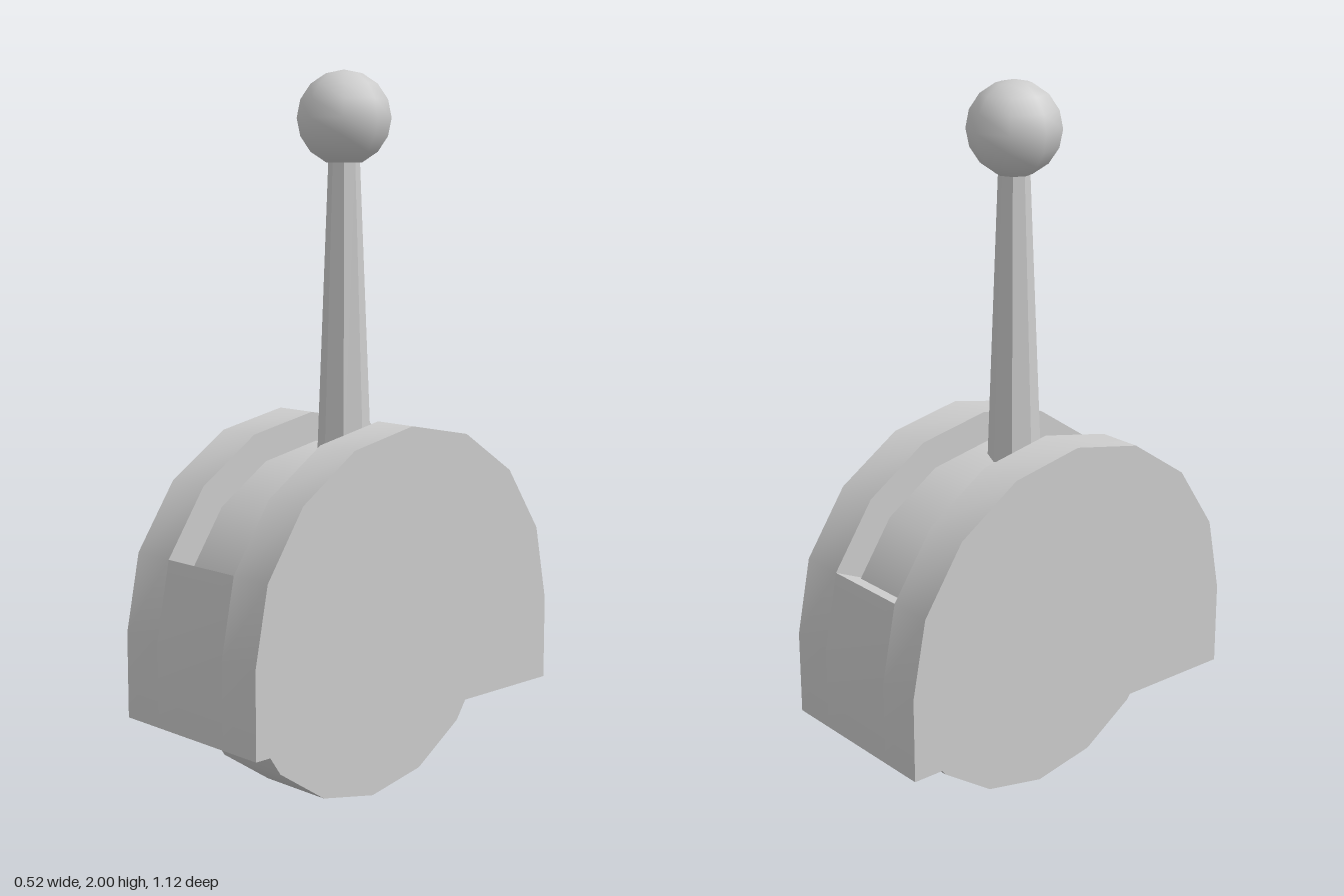
import * as THREE from 'three';
import { toCreasedNormals } from 'three/addons/utils/BufferGeometryUtils.js';

const AXLE_Y = 0.5;
const STEP = Math.PI / 8; // sixteen-sided curves

// point on a sixteen-sided arc about the axle, as [z, y]
const arcPoint = (r, i) => [r * Math.cos(i * STEP), AXLE_Y + r * Math.sin(i * STEP)];

// extrude a side profile (z, y) across the width, centred at x
function slab(profile, width, x) {
  const shape = new THREE.Shape(profile.map(([z, y]) => new THREE.Vector2(z, y)));
  const geo = new THREE.ExtrudeGeometry(shape, { depth: width, bevelEnabled: false });
  geo.translate(0, 0, -width / 2).rotateY(-Math.PI / 2).translate(x, 0, 0);
  return toCreasedNormals(geo, 0.5);
}

export function createModel() {
  const group = new THREE.Group();
  const material = new THREE.MeshStandardMaterial({ color: 0xcccccc });
  const add = (name, geometry, parent = group) => {
    const mesh = new THREE.Mesh(geometry, material);
    mesh.name = name;
    parent.add(mesh);
    return mesh;
  };

  const R = 0.56, base = 0.263, halfWidth = 0.262, slotHalf = 0.132;

  // housing: two domed cheeks with a slotted core between them
  const housing = new THREE.Group();
  housing.name = 'housing';
  group.add(housing);

  const cheek = [[-R, base], [R, base]];
  for (let i = 0; i <= 8; i++) cheek.push(arcPoint(R, i));
  const cheekWidth = halfWidth - slotHalf;
  for (const [name, side] of [['leftCheek', 1], ['rightCheek', -1]]) {
    add(name, slab(cheek, cheekWidth, side * (slotHalf + cheekWidth / 2)), housing);
  }

  // core: outer wall up to the slot ends, then down to a smaller concentric floor
  const core = [[-R, base], [R, base], arcPoint(R, 0), arcPoint(R, 1), [0.317, 0.625]];
  for (let i = 2; i <= 6; i++) core.push(arcPoint(0.328, i));
  core.push([-0.317, 0.625], arcPoint(R, 7), arcPoint(R, 8));
  add('slottedCore', slab(core, slotHalf * 2, 0), housing);

  // wheel turning in the slot and showing below the housing
  const wheel = new THREE.CylinderGeometry(0.49, 0.49, 0.23, 16);
  wheel.rotateZ(Math.PI / 2).translate(0, 0.49, 0);
  add('wheel', wheel);

  // tapered eight-sided lever
  const lever = new THREE.CylinderGeometry(0.042, 0.0765, 0.88, 8);
  lever.translate(0, 1.34, 0);
  add('lever', toCreasedNormals(lever, 0.5));

  // ball grip
  const knob = new THREE.SphereGeometry(0.128, 8, 8);
  knob.translate(0, 1.872, 0);
  add('knob', knob);

  return group;
}
